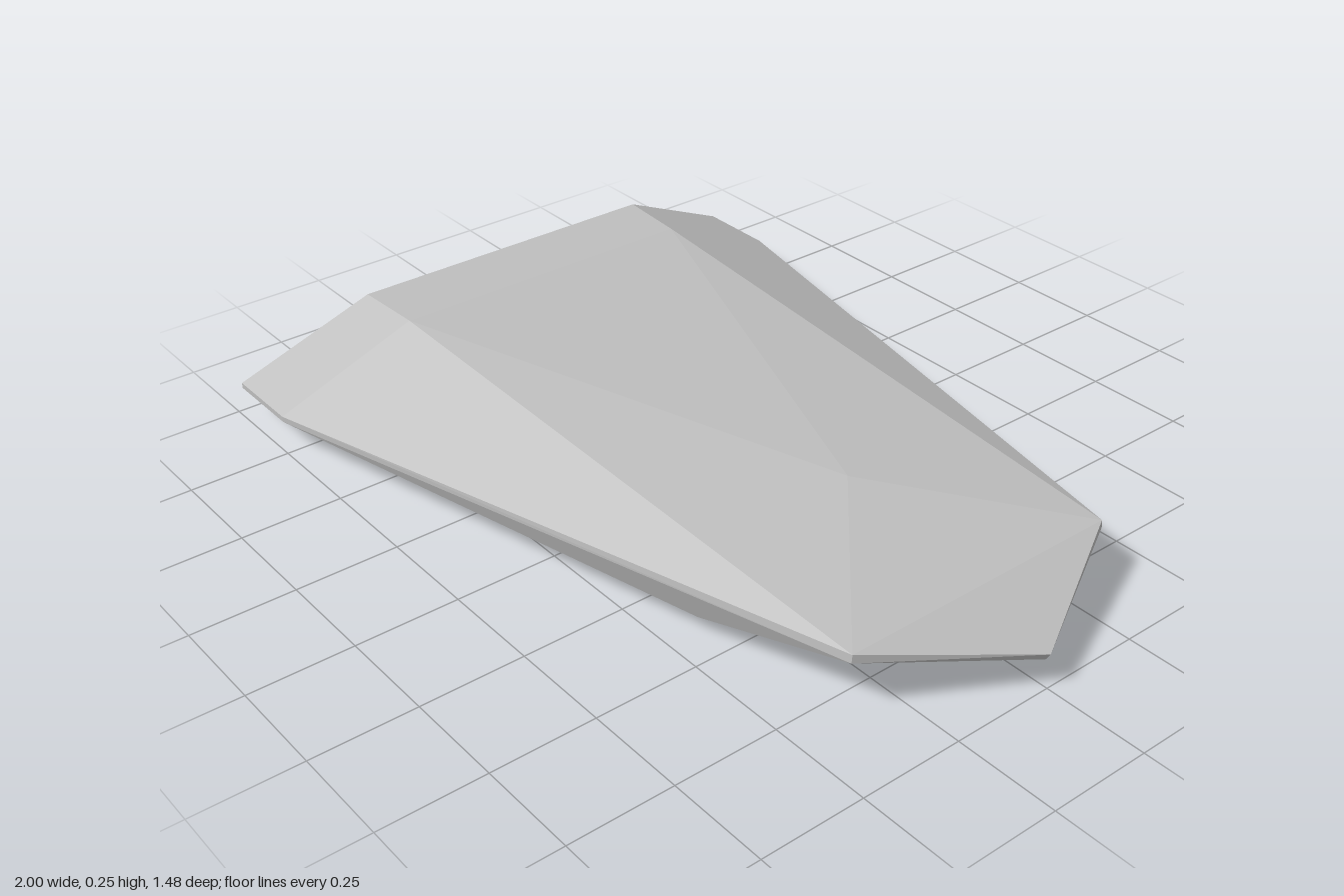
import * as THREE from 'three';
import { ConvexGeometry } from 'three/addons/geometries/ConvexGeometry.js';

export function createModel() {
  const group = new THREE.Group();
  group.name = 'wedgeHull';
  const grey = new THREE.MeshStandardMaterial({ color: 0xbebebe });
  grey.name = 'hull grey';

  // Corners of one half of the faceted hull, mirrored across z = 0
  const half = [
    [-0.91, 0.25, 0.41], [-0.73, 0.248, 0.4],                    // roof corners
    [-1, 0.165, 0.42], [-1, 0.008, 0.42],                        // stern plate
    [-0.975, 0.09, 0.742], [-0.975, 0.076, 0.742],               // rear wing tip
    [-0.77, 0.09, 0.742], [-0.77, 0.076, 0.742],                 // front wing tip
    [0.81, 0.15, 0.36], [0.81, 0.13, 0.362],                     // shoulder
    [0.42, 0.045, 0.43], [0.22, 0.014, 0.3], [-0.45, 0, 0.42],   // belly
  ];
  // Ridge apex and blunt nose on the centre line
  const centre = [[0.4, 0.205, 0], [1, 0.086, 0], [0.99, 0.068, 0]];

  const points = centre.map((p) => new THREE.Vector3(...p));
  for (const [x, y, z] of half) {
    for (const side of [1, -1]) points.push(new THREE.Vector3(x, y, z * side));
  }

  const hull = new THREE.Mesh(new ConvexGeometry(points), grey);
  hull.name = 'hull';
  group.add(hull);
  return group;
}
